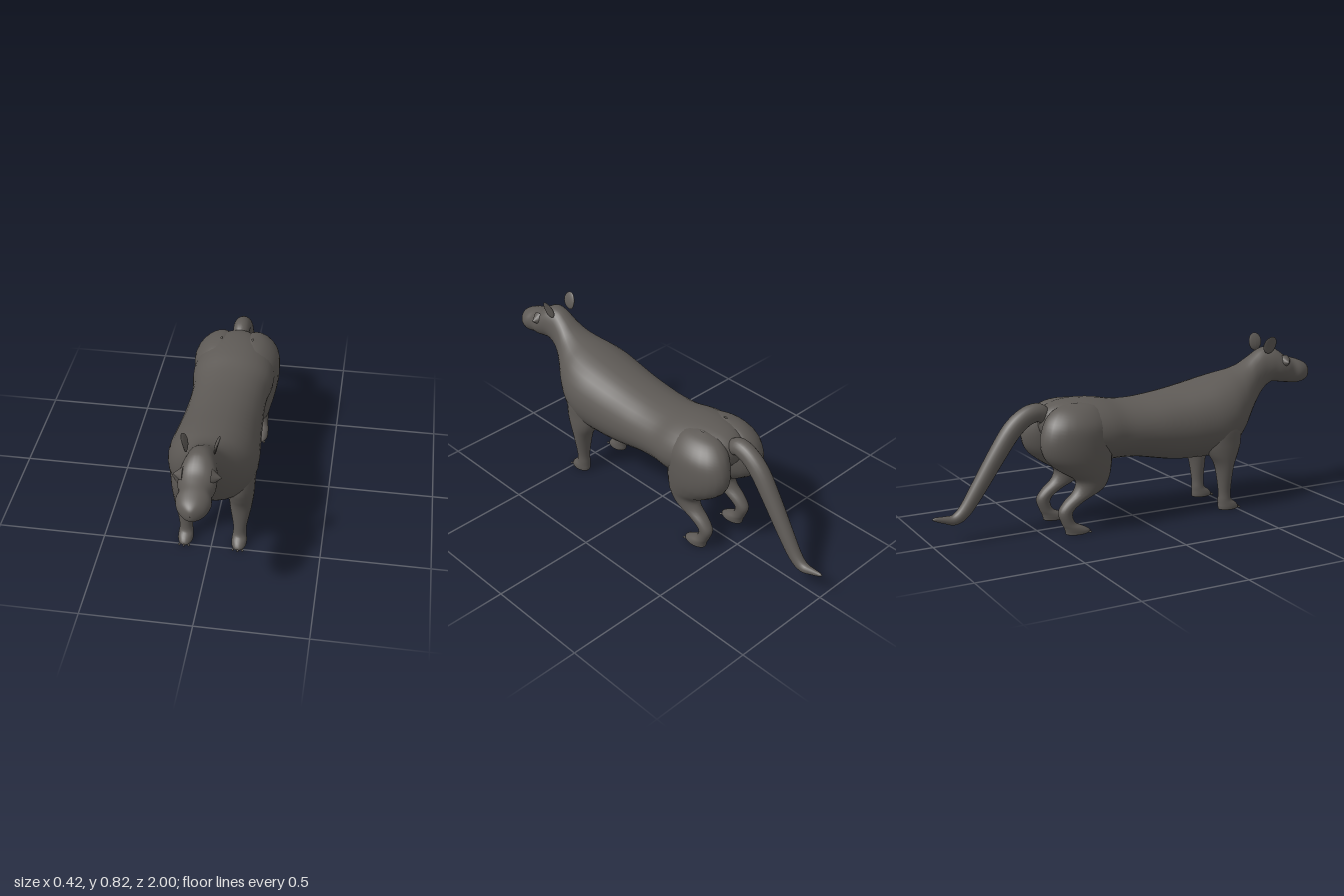
import * as THREE from 'three';

const fur = new THREE.MeshStandardMaterial({ color: 0x5e5a56 });
fur.name = 'dark fur';

// Smooth interpolation through rows of numbers
function smoothRows(rows, steps) {
  const out = [];
  const at = (i) => rows[Math.min(Math.max(i, 0), rows.length - 1)];
  for (let i = 0; i < rows.length - 1; i++) {
    for (let s = 0; s < steps; s++) {
      const t = s / steps;
      out.push(rows[i].map((b, k) => {
        const a = at(i - 1)[k], c = at(i + 1)[k], d = at(i + 2)[k];
        return b + 0.5 * t * (c - a + t * (2 * a - 5 * b + 4 * c - d + t * (3 * (b - c) + d - a)));
      }));
    }
  }
  out.push(rows[rows.length - 1]);
  return out;
}

// Skin over rings; ringPoint(row, cos, sin) gives one point of a ring
function loft(name, rows, ringPoint, steps = 4, sides = 32) {
  const rings = smoothRows(rows, steps);
  const pos = [], index = [];
  rings.forEach((row, i) => {
    for (let j = 0; j < sides; j++) {
      const a = (j / sides) * Math.PI * 2;
      pos.push(...ringPoint(row, Math.cos(a), Math.sin(a)));
      if (i === rings.length - 1) continue;
      const p = i * sides + j, q = i * sides + (j + 1) % sides;
      index.push(p, q, p + sides, q, q + sides, p + sides);
    }
  });
  const geo = new THREE.BufferGeometry();
  geo.setAttribute('position', new THREE.Float32BufferAttribute(pos, 3));
  geo.setIndex(index);
  geo.computeVertexNormals();
  return named(name, geo);
}

function named(name, geo) {
  const mesh = new THREE.Mesh(geo, fur);
  mesh.name = name;
  return mesh;
}

function ellipsoid(name, rx, ry, rz, x, y, z) {
  return named(name, new THREE.SphereGeometry(1, 20, 14).scale(rx, ry, rz).translate(x, y, z));
}

// Torso, neck and head: z, top, bottom, half width
const bodyRows = [
  [-0.475, 0.52, 0.5, 0.002], [-0.46, 0.565, 0.45, 0.06], [-0.4, 0.597, 0.39, 0.13],
  [-0.3, 0.607, 0.33, 0.185], [-0.2, 0.6, 0.31, 0.195], [-0.1, 0.582, 0.308, 0.18],
  [0, 0.579, 0.3, 0.178], [0.1, 0.588, 0.28, 0.183], [0.2, 0.602, 0.262, 0.189],
  [0.3, 0.62, 0.257, 0.197], [0.4, 0.64, 0.257, 0.202], [0.48, 0.655, 0.275, 0.19],
  [0.55, 0.668, 0.325, 0.157], [0.61, 0.69, 0.405, 0.115], [0.66, 0.722, 0.475, 0.084],
  [0.71, 0.752, 0.542, 0.07], [0.76, 0.76, 0.58, 0.073], [0.8, 0.744, 0.581, 0.08],
  [0.84, 0.716, 0.575, 0.079], [0.88, 0.7, 0.57, 0.068], [0.92, 0.688, 0.566, 0.074],
  [0.96, 0.672, 0.572, 0.06], [0.985, 0.656, 0.583, 0.035], [0.997, 0.64, 0.6, 0.014],
  [1, 0.622, 0.618, 0.001],
];
const bodyRing = ([z, top, bottom, w], c, s) => [
  w * Math.sign(c) * Math.abs(c) ** 0.92, (top + bottom) / 2 + s * (top - bottom) / 2, z];

// Legs: y, x, z, radius across, radius along
const frontLegRows = [
  [0.5, 0.12, 0.42, 0.01, 0.01], [0.44, 0.122, 0.425, 0.068, 0.08], [0.35, 0.123, 0.425, 0.067, 0.095],
  [0.29, 0.127, 0.427, 0.06, 0.078], [0.24, 0.128, 0.432, 0.053, 0.053], [0.19, 0.127, 0.435, 0.046, 0.04],
  [0.1, 0.125, 0.439, 0.031, 0.031], [0.055, 0.124, 0.441, 0.031, 0.033], [0.033, 0.124, 0.454, 0.034, 0.046],
  [0.015, 0.124, 0.461, 0.035, 0.053], [0.003, 0.124, 0.461, 0.03, 0.047], [0.002, 0.124, 0.461, 0.001, 0.001],
];
const hindLegRows = [
  [0.6, 0.075, -0.33, 0.004, 0.01], [0.585, 0.08, -0.33, 0.05, 0.09], [0.55, 0.09, -0.335, 0.084, 0.138],
  [0.5, 0.103, -0.34, 0.1, 0.165], [0.43, 0.109, -0.345, 0.1, 0.175], [0.36, 0.112, -0.335, 0.092, 0.163],
  [0.3, 0.115, -0.304, 0.076, 0.126], [0.25, 0.118, -0.274, 0.058, 0.083], [0.2, 0.12, -0.296, 0.046, 0.073],
  [0.155, 0.121, -0.367, 0.038, 0.05], [0.11, 0.122, -0.41, 0.032, 0.035], [0.06, 0.123, -0.398, 0.03, 0.032],
  [0.035, 0.124, -0.37, 0.034, 0.048], [0.016, 0.124, -0.352, 0.035, 0.06], [0.003, 0.124, -0.352, 0.03, 0.053],
  [0.002, 0.124, -0.352, 0.001, 0.001],
];

// Tail: y, z, radius across, direction y, direction z
const tailPath = [
  [0.525, -0.43, 0.004], [0.54, -0.45, 0.036], [0.558, -0.49, 0.043], [0.54, -0.55, 0.044],
  [0.485, -0.615, 0.045], [0.38, -0.69, 0.042], [0.25, -0.775, 0.037], [0.15, -0.845, 0.031],
  [0.114, -0.895, 0.025], [0.12, -0.945, 0.016], [0.128, -0.985, 0.009], [0.13, -1, 0.001],
];
const tailRows = tailPath.map(([y, z, r], i) => {
  const a = tailPath[Math.max(i - 1, 0)], b = tailPath[Math.min(i + 1, tailPath.length - 1)];
  return [y, z, r, b[0] - a[0], b[1] - a[1]];
});
const tailRing = ([y, z, r, dy, dz], c, s) => {
  const n = Math.hypot(dy, dz);
  return [r * s * 0.95, y - r * c * dz / n, z + r * c * dy / n];
};

// Thin upright ear that curves outward
function ear(side) {
  const geo = new THREE.SphereGeometry(1, 20, 16);
  const p = geo.attributes.position;
  for (let i = 0; i < p.count; i++) {
    const t = (p.getY(i) + 1) / 2;
    p.setXYZ(i, side * 0.059 + p.getX(i) * 0.007 + side * 0.021 * t * t,
      0.735 + 0.084 * t, 0.73 + p.getZ(i) * 0.037 - 0.006 * (1 - t));
  }
  geo.computeVertexNormals();
  return named('ear', geo);
}

export function createModel() {
  const model = new THREE.Group();
  model.name = 'big cat';
  model.add(loft('body and head', bodyRows, bodyRing), loft('tail', tailRows, tailRing, 4, 20));

  for (const side of [-1, 1]) {
    const legRing = ([y, x, z, rx, rz], c, s) => [side * x + rx * c, y, z + rz * s];
    model.add(loft('frontLeg', frontLegRows, legRing, 4, 24));
    model.add(loft('hindLeg', hindLegRows, legRing, 4, 24));
    model.add(ear(side));

    // Pointed brow beside each eye
    const brow = new THREE.ConeGeometry(0.034, 0.042, 16, 3).rotateZ(-side * Math.PI / 2)
      .translate(side * 0.08, 0.686, 0.82);
    model.add(named('brow', brow));

    // Small claws in front of each paw
    for (const pawZ of [0.517, -0.293]) {
      for (const dx of [-0.022, 0, 0.022]) {
        model.add(ellipsoid('claw', 0.005, 0.005, 0.007, side * 0.124 + dx, 0.008, pawZ - Math.abs(dx) * 0.2));
      }
    }
  }
  return model;
}
